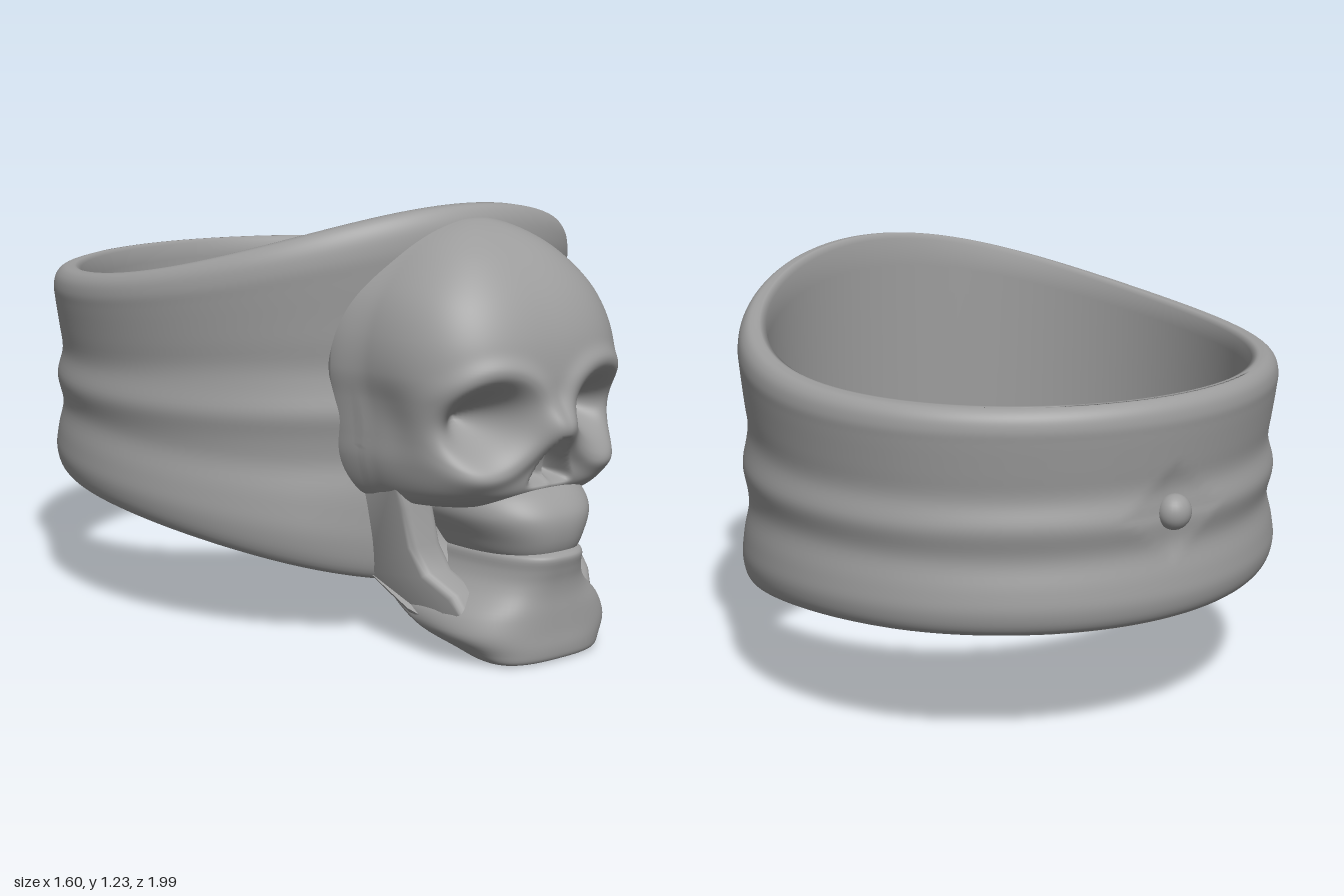
import * as THREE from 'three';
import { toCreasedNormals } from 'three/addons/utils/BufferGeometryUtils.js';

const material = new THREE.MeshStandardMaterial({ color: 0x9c9c9c });
const RING_Z = -0.195;
const gauss = (v, s) => Math.exp(-(v * v) / (s * s));
const smooth = THREE.MathUtils.smoothstep;
// Depth of the middle of the band's wall at x, so nothing pokes through the finger hole
const wallZ = x => RING_Z + Math.sqrt(Math.max(0, 0.5625 - x * x));

// Skin a list of equal closed loops; either join the last to the first or cap both ends
function skin(loops, ringClosed) {
  const n = loops[0].length, m = loops.length;
  const pos = loops.flat(2), idx = [];
  for (let i = 0; i < (ringClosed ? m : m - 1); i++) {
    for (let j = 0; j < n; j++) {
      const a = i * n + j, b = i * n + (j + 1) % n;
      const d = ((i + 1) % m) * n + j, c = ((i + 1) % m) * n + (j + 1) % n;
      idx.push(a, d, c, a, c, b);
    }
  }
  if (!ringClosed) {
    [0, m - 1].forEach((row, end) => {
      const center = pos.length / 3;
      for (let k = 0; k < 3; k++) pos.push(loops[row].reduce((s, p) => s + p[k], 0) / n);
      for (let j = 0; j < n; j++) {
        const a = row * n + j, b = row * n + (j + 1) % n;
        idx.push(center, end ? b : a, end ? a : b);
      }
    });
  }
  const g = new THREE.BufferGeometry();
  g.setAttribute('position', new THREE.Float32BufferAttribute(pos, 3));
  g.setIndex(idx);
  g.computeVertexNormals();
  return g;
}

// Loft upward through [halfWidth, y, frontZ] rows; the back follows the band
function loft(rows, { power = 3, back = () => 0.46, rowCount = 40, cols = 60, shape = null }) {
  const curve = new THREE.CatmullRomCurve3(rows.map(r => new THREE.Vector3(...r)));
  const loops = [];
  for (let i = 0; i <= rowCount; i++) {
    const { x: w, y, z: front } = curve.getPoint(i / rowCount);
    const zb = Math.min(back(y), front), loop = [];
    for (let j = 0; j <= cols; j++) {
      const u = Math.PI * j / cols, c = Math.cos(u), s = Math.sin(u);
      const r = 1 / Math.pow(Math.abs(c) ** power + Math.abs(s) ** power, 1 / power);
      let p = [w * r * c, y, zb + (front - zb) * r * s];
      if (shape) p = shape(...p);
      p[2] = Math.max(p[2], wallZ(p[0]));
      loop.push(p);
    }
    for (let j = 1; j < 16; j++) {
      const x = -w + 2 * w * j / 16;
      loop.push([x, y, Math.max(zb, wallZ(x))]);
    }
    loops.push(loop);
  }
  return skin(loops, false);
}

// Band: rounded rims, shallow folds and a diamond hollow at the back
function bandGeometry() {
  const outer = new THREE.CatmullRomCurve3([
    [0.73, 0], [0.764, 0.005], [0.785, 0.035], [0.799, 0.11], [0.794, 0.2], [0.782, 0.32], [0.779, 0.42],
    [0.78, 0.5], [0.779, 0.6], [0.783, 0.72], [0.793, 0.85], [0.796, 0.91], [0.786, 0.965], [0.764, 0.995], [0.73, 1],
  ].map(([r, t]) => new THREE.Vector3(r, t, 0)));
  const profile = outer.getPoints(70).map(p => [p.x, p.y]);
  for (let k = 0; k <= 12; k++) profile.push([0.712, 0.985 - 0.97 * k / 12]);
  const loops = [], steps = 160;
  for (let i = 0; i < steps; i++) {
    const a = 2 * Math.PI * i / steps, sx = Math.sin(a), cz = Math.cos(a);
    const rise = Math.pow((cz + 1) / 2, 3.4);
    const top = 0.99 + 0.24 * rise, bottom = 0.36 - 0.21 * rise;
    const spread = 0.09 + 0.05 * smooth(cz, -0.2, 0.8);
    loops.push(profile.map(([r0, t]) => {
      const y = bottom + (top - bottom) * t;
      let r = r0;
      if (r0 > 0.75) {
        r += 0.012 * gauss(y - 0.655, 0.05);
        r -= 0.006 * (gauss(y - 0.655 - spread, 0.05) + gauss(y - 0.655 + spread, 0.05));
        r -= 0.012 * smooth(cz, 0.75, 1) * gauss(t - 0.1, 0.12);
        r -= 0.016 * smooth(-cz, 0.5, 1);
        if (cz < 0) r -= 0.025 * Math.max(0, 1 - Math.abs(sx * r) / 0.17 - Math.abs(y - 0.67) / 0.14);
      }
      return [r * sx, y, RING_Z + r * cz];
    }));
  }
  return skin(loops, true);
}

// Flare into the band, carve eye sockets and nose, raise nasal bone and cheekbones, pinch temples
function carveFace(x, y, z) {
  const flare = 1 + 0.06 * smooth(-z, -0.6, -0.46);
  const pinch = 1 - 0.05 * gauss(y - 0.66, 0.1) * gauss(z - 0.66, 0.09);
  if (z < 0.55) return [x * flare * pinch, y, z];
  const ax = Math.abs(x);
  const eye = Math.hypot((ax - 0.198) / 0.142, (y - 0.675 - 0.1 * (0.2 - ax)) / 0.13);
  let dz = -0.19 * (1 - smooth(eye, -0.15, 1.03));
  dz += 0.012 * gauss(eye - 1.15, 0.2);
  dz += 0.05 * gauss(x, 0.05) * gauss(y - 0.655, 0.06);
  dz += 0.02 * gauss(ax - 0.27, 0.08) * gauss(y - 0.52, 0.05);
  const noseWidth = 0.012 + 0.075 * (0.635 - y) / 0.14;
  if (y < 0.635) dz -= (0.08 - 0.04 * gauss(x, 0.014)) * (1 - smooth(ax / noseWidth, 0.45, 1.05)) * smooth(y, 0.485, 0.52);
  return [x * flare * pinch, y, z + dz];
}

// Jaw branch: beveled side outline leaning outward and tapering to the chin
function jawBranchGeometry() {
  const outline = [[0.47, 0.2], [0.66, 0.13], [0.76, 0.1], [0.84, 0.11], [0.8, 0.18], [0.72, 0.23],
    [0.685, 0.31], [0.675, 0.42], [0.65, 0.5], [0.47, 0.5]];
  const g = new THREE.ExtrudeGeometry(new THREE.Shape(outline.map(p => new THREE.Vector2(...p))),
    { depth: 0.055, bevelSize: 0.02, bevelThickness: 0.025, bevelSegments: 4 });
  g.rotateY(-Math.PI / 2).translate(0.275, 0, 0);
  const p = g.attributes.position;
  for (let i = 0; i < p.count; i++) {
    const x = p.getX(i) + (p.getY(i) - 0.2) * 0.13 - Math.max(0, p.getZ(i) - 0.68) * 0.3;
    p.setX(i, x);
    p.setZ(i, Math.max(p.getZ(i), wallZ(x)));
  }
  return toCreasedNormals(g, 0.9);
}

export function createModel() {
  const model = new THREE.Group();
  const add = (name, geometry) => {
    const mesh = new THREE.Mesh(geometry, material);
    mesh.name = name;
    model.add(mesh);
    return mesh;
  };
  add('band', bandGeometry());

  // Stud at the back of the band
  const stud = add('backStud', new THREE.SphereGeometry(0.05, 24, 16));
  stud.scale.z = 0.9;
  stud.position.set(0, 0.67, -0.955);

  add('cranium', loft([
    [0.29, 0.43, 0.79], [0.325, 0.44, 0.86], [0.348, 0.48, 0.91], [0.368, 0.55, 0.925], [0.375, 0.62, 0.94],
    [0.383, 0.72, 0.94], [0.39, 0.8, 0.94], [0.378, 0.9, 0.92], [0.338, 1.0, 0.872], [0.25, 1.1, 0.785],
    [0.16, 1.16, 0.69], [0.07, 1.19, 0.61], [0.01, 1.195, 0.57],
  ], { rowCount: 150, cols: 150, shape: carveFace }));

  add('upperJaw', loft([
    [0.14, 0.295, 0.93], [0.165, 0.3, 0.955], [0.19, 0.345, 0.975], [0.222, 0.41, 0.975],
    [0.215, 0.46, 0.94], [0.16, 0.505, 0.87],
  ], { power: 2.6, back: () => 0.6 }));

  const underside = y => Math.max(0.46, 0.88 - 2.1 * y);
  add('lowerJaw', loft([
    [0.15, 0.003, 0.95], [0.19, 0.012, 0.972], [0.225, 0.04, 0.977], [0.277, 0.09, 0.973], [0.277, 0.14, 0.97],
    [0.235, 0.19, 0.967], [0.2, 0.23, 0.97], [0.183, 0.265, 0.978], [0.175, 0.3, 0.985], [0.15, 0.315, 0.96],
  ], { power: 2.8, back: underside }));

  // Recessed core behind the teeth, joining jaw, face and band
  add('jawCore', loft([[0.22, 0.14, 0.76], [0.25, 0.2, 0.74], [0.26, 0.35, 0.68], [0.27, 0.5, 0.7]],
    { power: 4, back: y => underside(y) + 0.03 }));

  const branch = jawBranchGeometry();
  add('leftJawBranch', branch);
  add('rightJawBranch', branch).scale.x = -1;
  return model;
}
